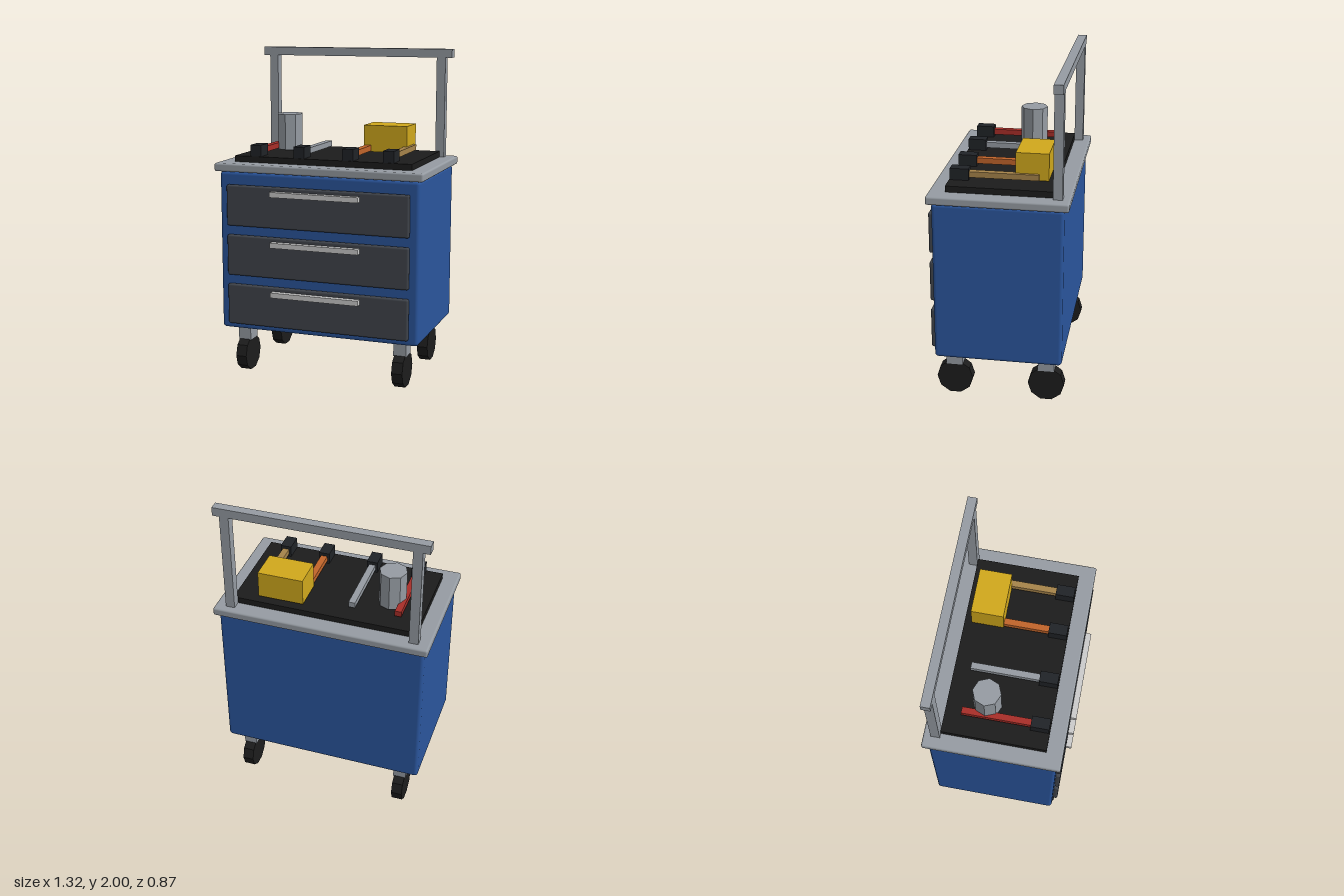
import * as THREE from 'three';
import { RoundedBoxGeometry } from 'three/addons/geometries/RoundedBoxGeometry.js';

const paint = (color) => new THREE.MeshStandardMaterial({ color });
const blue = paint(0x2a559c);
const charcoal = paint(0x41454c);
const steel = paint(0x959ba2);
const silver = paint(0xcccccc);
const black = paint(0x1c1c1c);
const gripBlack = paint(0x202327);
const yellow = paint(0xd0a81c);

export function createModel() {
  const model = new THREE.Group();
  model.name = 'toolCart';

  const add = (name, geometry, material, x, y, z, parent = model) => {
    const mesh = new THREE.Mesh(geometry, material);
    mesh.name = name;
    mesh.position.set(x, y, z);
    parent.add(mesh);
    return mesh;
  };
  // Box given by its ranges on each axis; a radius softens the edges
  const box = (name, material, [x0, x1], [y0, y1], [z0, z1], radius = 0, parent = model) => {
    const size = [x1 - x0, y1 - y0, z1 - z0];
    const geometry = radius
      ? new RoundedBoxGeometry(...size, 2, radius)
      : new THREE.BoxGeometry(...size);
    return add(name, geometry, material, (x0 + x1) / 2, (y0 + y1) / 2, (z0 + z1) / 2, parent);
  };
  const group = (name) => {
    const g = new THREE.Group();
    g.name = name;
    model.add(g);
    return g;
  };

  // Cabinet, worktop and mat
  box('cabinet', blue, [-0.635, 0.635], [0.283, 1.272], [-0.4, 0.37], 0.022);
  box('worktop', steel, [-0.66, 0.66], [1.272, 1.323], [-0.43, 0.397], 0.012);
  box('mat', black, [-0.565, 0.565], [1.318, 1.36], [-0.33, 0.298]);

  // Three drawers with bar handles
  for (const y of [0.447, 0.757, 1.067]) {
    const drawer = group('drawer');
    box('drawerFront', charcoal, [-0.58, 0.58], [y - 0.127, y + 0.127], [0.368, 0.4], 0.012, drawer);
    box('drawerHandle', silver, [-0.28, 0.28], [y + 0.07, y + 0.102], [0.395, 0.435], 0, drawer);
  }

  // Push handle at the back
  const frame = group('pushHandle');
  for (const s of [-1, 1]) {
    box('handlePost', steel, [s * 0.565 - 0.028, s * 0.565 + 0.028], [1.32, 1.95], [-0.385, -0.33], 0, frame);
  }
  box('handleBar', steel, [-0.635, 0.635], [1.947, 2], [-0.385, -0.33], 0, frame);

  // Four casters with ten-sided wheels, a corner pointing forward
  const wheelGeometry = new THREE.CylinderGeometry(0.111, 0.111, 0.068, 10).toNonIndexed();
  wheelGeometry.rotateZ(Math.PI / 2);
  wheelGeometry.computeVertexNormals();
  for (const x of [-0.508, 0.508]) {
    for (const z of [0.266, -0.297]) {
      const caster = group('caster');
      box('casterBracket', steel, [x - 0.04, x + 0.04], [0.195, 0.29], [z - 0.05, z + 0.05], 0, caster);
      add('casterWheel', wheelGeometry, black, x, 0.106, z, caster);
    }
  }

  // Hand tools laid on the mat
  const tools = [
    [-0.427, 0xa82e28],
    [-0.145, 0x959ba2],
    [0.167, 0xc0642a],
    [0.42, 0xa5834a],
  ];
  for (const [x, color] of tools) {
    const tool = group('handTool');
    box('toolShaft', paint(color), [x - 0.02, x + 0.02], [1.375, 1.41], [-0.23, 0.2], 0, tool);
    box('toolHead', gripBlack, [x - 0.034, x + 0.034], [1.355, 1.43], [0.182, 0.293], 0, tool);
  }

  // Eight-sided canister and parts box
  const canister = new THREE.CylinderGeometry(0.084, 0.084, 0.225, 8).toNonIndexed();
  canister.computeVertexNormals();
  add('canister', canister, steel, -0.355, 1.48, -0.09);
  box('partsBox', yellow, [0.14, 0.42], [1.37, 1.535], [-0.285, -0.09]);

  return model;
}
